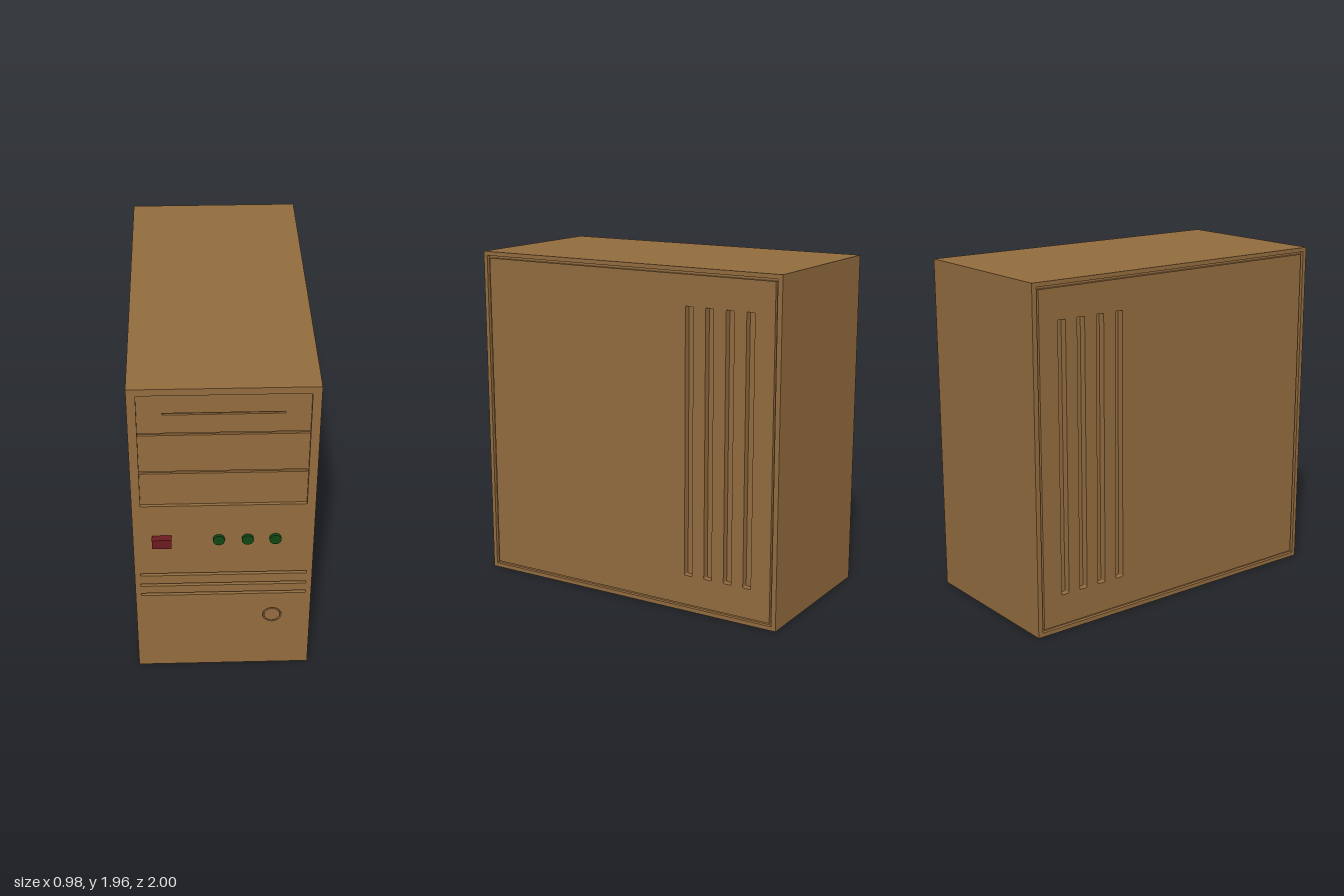
import * as THREE from 'three';

const BROWN = new THREE.MeshStandardMaterial({ color: 0x926b3e });
const RED = new THREE.MeshStandardMaterial({ color: 0x6c1b20 });
const GREEN = new THREE.MeshStandardMaterial({ color: 0x0f4713 });

// Rectangle outline with optional rounded corners, added to a Shape or Path
function rect(a, y0, b, y1, r = 0, Type = THREE.Shape) {
  const x0 = Math.min(a, b), x1 = Math.max(a, b), p = new Type();
  if (!r) {
    p.moveTo(x0, y0).lineTo(x1, y0).lineTo(x1, y1).lineTo(x0, y1).closePath();
    return p;
  }
  p.moveTo(x0 + r, y0);
  p.absarc(x1 - r, y0 + r, r, -Math.PI / 2, 0);
  p.absarc(x1 - r, y1 - r, r, 0, Math.PI / 2);
  p.absarc(x0 + r, y1 - r, r, Math.PI / 2, Math.PI);
  p.absarc(x0 + r, y0 + r, r, Math.PI, Math.PI * 1.5);
  return p;
}

const hole = (a, y0, b, y1, r) => rect(a, y0, b, y1, r, THREE.Path);

function plate(shape, holes, depth) {
  shape.holes.push(...holes);
  return new THREE.ExtrudeGeometry(shape, { depth, bevelEnabled: false, curveSegments: 12 });
}

function add(parent, name, geometry, material = BROWN) {
  const mesh = new THREE.Mesh(geometry, material);
  mesh.name = name;
  parent.add(mesh);
  return mesh;
}

function disc(r, depth, x, y, z) {
  return new THREE.CylinderGeometry(r, r, depth, 32).rotateX(Math.PI / 2).translate(x, y, z + depth / 2);
}

function createFront() {
  const front = new THREE.Group();
  front.name = 'front';
  const z0 = 0.93, bayX = 0.443;

  // Front cover with openings for the drive bays, grille slits and round button
  const holes = [hole(-bayX, 1.203, bayX, 1.92)];
  for (const y of [0.553, 0.624, 0.702]) holes.push(hole(-0.46, y, 0.46, y + 0.018, 0.006));
  const ring = new THREE.Path();
  ring.absarc(0.275, 0.386, 0.053, 0, Math.PI * 2);
  holes.push(ring);
  add(front, 'frontCover', plate(rect(-0.47, 0, 0.47, 1.96), holes, 0.03).translate(0, 0, z0));

  // Recessed drive covers; the top one has a disc slot
  [[1.203, 1.41], [1.426, 1.66], [1.675, 1.92]].forEach(([y0, y1], i) => {
    const slot = i === 2 ? [hole(-0.313, 1.789, 0.313, 1.8)] : [];
    add(front, 'driveCover', plate(rect(-bayX, y0, bayX, y1), slot, 0.012).translate(0, 0, z0));
  });

  // Round button inside its ring groove
  add(front, 'roundButton', disc(0.045, 0.03, 0.275, 0.386, z0));

  // Switch and indicator lights
  const power = add(front, 'powerSwitch', new THREE.BoxGeometry(0.105, 0.06, 0.05), RED);
  power.position.set(-0.335, 0.967, 0.975);
  for (const x of [-0.026, 0.13, 0.28]) {
    add(front, 'indicatorLight', disc(0.032, 0.025, x, 0.967, 0.952), GREEN);
  }
  return front;
}

function createSide(s) {
  const side = new THREE.Group();
  side.name = s > 0 ? 'leftSide' : 'rightSide';
  const u = z => -s * z; // depth position mapped into the flat outline
  const slots = () => [-0.42, -0.546, -0.671, -0.794].map(z => hole(u(z), 0.214, u(z - 0.049), 1.75, 0.006));
  const place = (geometry, x) => geometry.translate(0, 0, x).rotateY(s * Math.PI / 2);

  // Outer frame, panel set inside it with a narrow groove, and backing layer
  const groove = hole(u(-0.972), 0.024, u(0.936), 1.936);
  add(side, 'sideFrame', place(plate(rect(u(-1), 0, u(0.96), 1.96), [groove], 0.02), 0.47));
  add(side, 'sidePanel', place(plate(rect(u(-0.961), 0.04, u(0.917), 1.922), slots(), 0.02), 0.47));
  add(side, 'sideBacking', place(plate(rect(u(-1), 0, u(0.94), 1.96), slots(), 0.02), 0.45));
  return side;
}

export function createModel() {
  const model = new THREE.Group();
  model.name = 'computerTower';

  // Solid case body behind the covers
  const body = add(model, 'caseBody', new THREE.BoxGeometry(0.9, 1.96, 1.93));
  body.position.set(0, 0.98, -0.035);

  model.add(createFront(), createSide(1), createSide(-1));
  return model;
}
